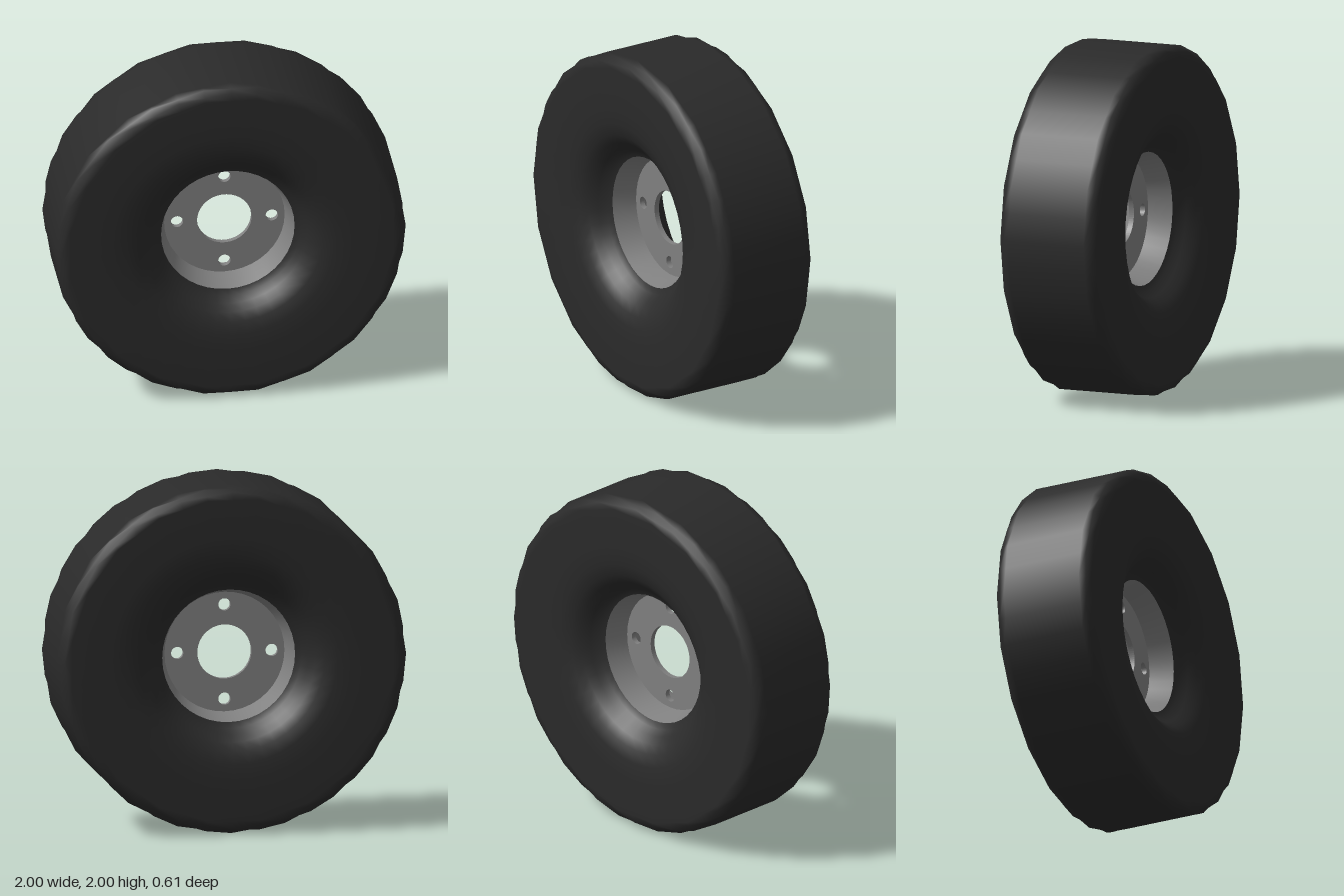
import * as THREE from 'three';

const SEGMENTS = 40;

// Mirrors a front half profile [radius, z] into a full back-to-front profile
function mirrored(half) {
  const back = half.map(([r, z]) => new THREE.Vector2(r, -z));
  const front = half.map(([r, z]) => new THREE.Vector2(r, z)).reverse();
  return [...back, ...front];
}

// Turns a profile around the z axis
function turned(points) {
  return new THREE.LatheGeometry(points, SEGMENTS);
}

function makeTire(material) {
  // From the bead, over the bulging sidewall, to the rounded tread edge
  const half = [
    [0.38, 0.15], [0.415, 0.168], [0.445, 0.205], [0.48, 0.245], [0.53, 0.278],
    [0.6, 0.298], [0.7, 0.305], [0.93, 0.305], [0.965, 0.296], [0.99, 0.27], [1, 0.235],
  ];
  const points = mirrored(half);
  const geometry = turned(points);

  // Coarse outer facets: alternate columns lie on the chord between neighbours
  const position = geometry.attributes.position;
  const chord = Math.cos((2 * Math.PI) / SEGMENTS);
  for (let i = 0; i <= SEGMENTS; i++) {
    points.forEach((p, j) => {
      if (p.x < 0.9) return;
      const ring = j < half.length ? j : points.length - 1 - j;
      if ((i + ring) % 2 === 0) return;
      const k = i * points.length + j;
      position.setX(k, position.getX(k) * chord);
      position.setZ(k, position.getZ(k) * chord);
    });
  }
  geometry.rotateX(Math.PI / 2);
  const tire = new THREE.Mesh(geometry, material);
  tire.name = 'tire';
  return tire;
}

function makeRim(material) {
  const rim = new THREE.Group();
  rim.name = 'rim';

  // Barrel flaring from the disc to both beads
  const barrelGeometry = turned(mirrored([[0.38, 0.15], [0.343, 0.015]]));
  barrelGeometry.rotateX(Math.PI / 2);
  const barrel = new THREE.Mesh(barrelGeometry, material);
  barrel.name = 'rimBarrel';

  // Hub disc with a centre bore and four bolt holes
  const shape = new THREE.Shape().absarc(0, 0, 0.343, 0, Math.PI * 2, false);
  const addHole = (x, y, r) =>
    shape.holes.push(new THREE.Path().absarc(x, y, r, 0, Math.PI * 2, true));
  addHole(0, 0, 0.155);
  for (let i = 0; i < 4; i++) {
    const a = (i * Math.PI) / 2;
    addHole(0.27 * Math.cos(a), 0.27 * Math.sin(a), 0.035);
  }
  const discGeometry = new THREE.ExtrudeGeometry(shape, {
    depth: 0.03, bevelEnabled: false, curveSegments: SEGMENTS,
  });
  discGeometry.translate(0, 0, -0.015);
  const disc = new THREE.Mesh(discGeometry, material);
  disc.name = 'hubDisc';

  rim.add(barrel, disc);
  return rim;
}

export function createModel() {
  const rubber = new THREE.MeshStandardMaterial({ color: 0x2a2a2a });
  const metal = new THREE.MeshStandardMaterial({ color: 0x808080, side: THREE.DoubleSide });

  const wheel = new THREE.Group();
  wheel.name = 'wheel';
  wheel.add(makeTire(rubber), makeRim(metal));
  wheel.position.y = 1;

  const model = new THREE.Group();
  model.add(wheel);
  return model;
}
